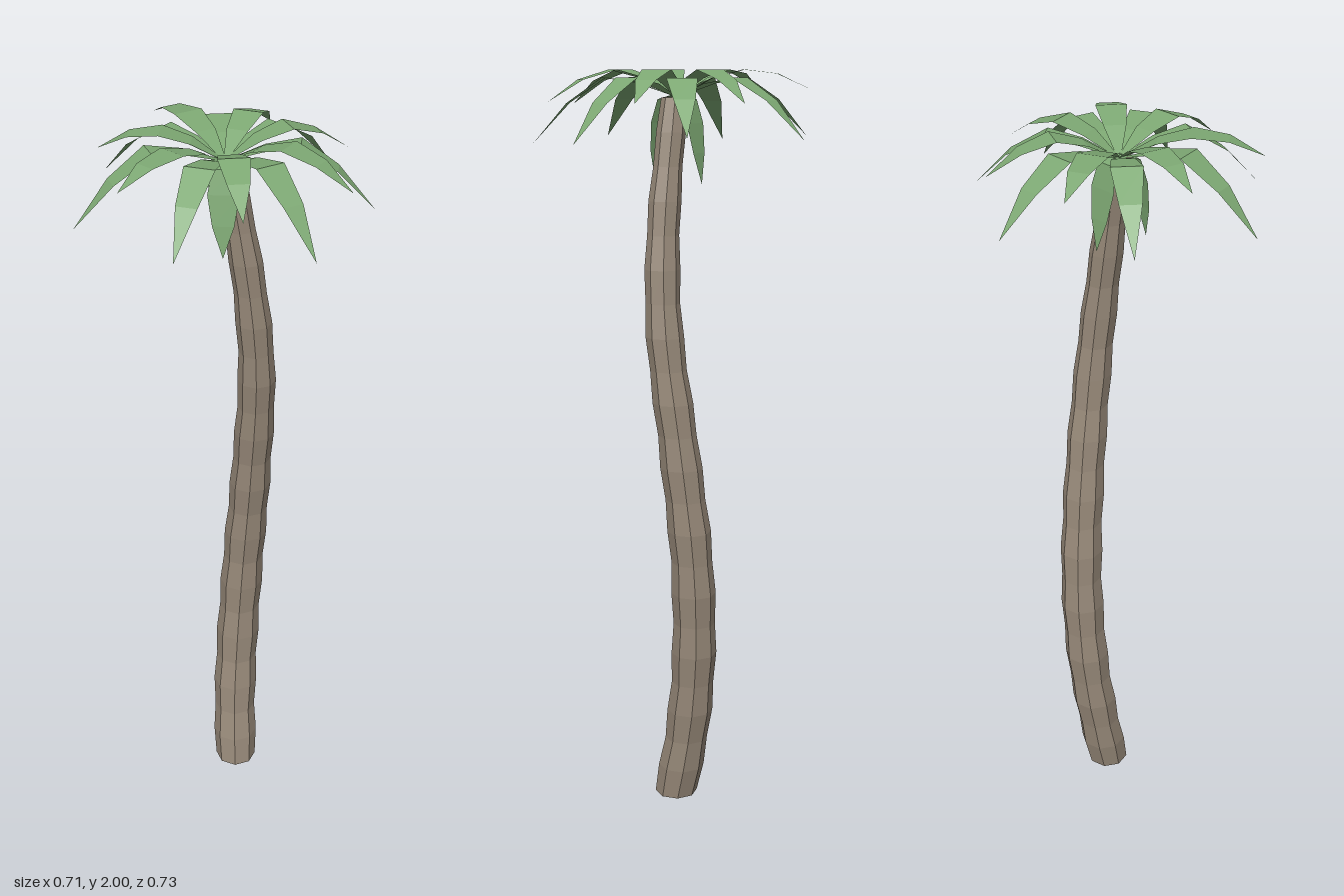
import * as THREE from 'three';

const bark = new THREE.MeshStandardMaterial({ color: 0x978979, flatShading: true });
const green = new THREE.MeshStandardMaterial({ color: 0x7da873, flatShading: true, side: THREE.DoubleSide });

// Leaning trunk: a unit cylinder bent along a curve, with knobbly rings
function makeTrunk() {
  const path = new THREE.CatmullRomCurve3([
    [0.03, 0, -0.01], [0.055, 0.2, -0.04], [0.08, 0.42, -0.055], [0.095, 0.7, -0.048],
    [0.09, 1.0, -0.015], [0.068, 1.35, 0.026], [0.04, 1.6, 0.025], [-0.004, 1.93, -0.006],
  ].map(p => new THREE.Vector3(...p)));
  const rings = 22;
  const geo = new THREE.CylinderGeometry(1, 1, 1, 8, rings);
  const pos = geo.attributes.position;
  for (let i = 0; i < pos.count; i++) {
    const t = pos.getY(i) + 0.5;
    const c = path.getPointAt(THREE.MathUtils.clamp(t, 0, 1));
    const bulge = Math.round(t * rings) % 2 ? 1.04 : 0.96;
    const r = (0.061 - 0.026 * t * t) * bulge;
    pos.setXYZ(i, c.x + pos.getX(i) * r, c.y, c.z + pos.getZ(i) * r);
  }
  geo.computeVertexNormals();
  const trunk = new THREE.Mesh(geo, bark);
  trunk.name = 'trunk';
  return trunk;
}

// One leaf blade: flat cross-sections from the crown to the tip
const crown = new THREE.Vector3(-0.006, 1.93, -0.014);
const halfWidths = [0.004, 0.028, 0.039, 0.027, 0];
function makeLeaf(tipX, tipZ, reach, heights, name) {
  const dir = new THREE.Vector3(tipX - crown.x, 0, tipZ - crown.z);
  const side = new THREE.Vector3(dir.z, 0, -dir.x).normalize();
  const verts = [], index = [];
  reach.forEach((f, i) => {
    const c = crown.clone().addScaledVector(dir, f).setY(heights[i]);
    for (const s of [-1, 1]) verts.push(...c.clone().addScaledVector(side, s * halfWidths[i]).toArray());
    if (i) {
      const a = 2 * i - 2;
      index.push(a, a + 2, a + 1);
      if (halfWidths[i]) index.push(a + 1, a + 2, a + 3);
    }
  });
  const geo = new THREE.BufferGeometry();
  geo.setAttribute('position', new THREE.Float32BufferAttribute(verts, 3));
  geo.setIndex(index);
  geo.computeVertexNormals();
  const leaf = new THREE.Mesh(geo, green);
  leaf.name = name;
  return leaf;
}

export function createModel() {
  const model = new THREE.Group();
  model.name = 'palmTree';
  model.add(makeTrunk());

  const leaves = new THREE.Group();
  leaves.name = 'leaves';
  model.add(leaves);

  // Spreading leaves: tip x, tip z, tip height
  const tips = [
    [0.355, -0.012, 1.84], [0.295, 0.11, 1.92], [0.235, 0.258, 1.82], [0.087, 0.32, 1.92],
    [-0.075, 0.362, 1.81], [-0.202, 0.253, 1.91], [-0.33, 0.158, 1.82], [-0.355, 0, 1.95],
    [-0.357, -0.167, 1.81], [-0.21, -0.25, 1.95], [-0.097, -0.365, 1.83], [0.063, -0.352, 1.95],
    [0.225, -0.312, 1.83], [0.287, -0.157, 1.92],
  ];
  tips.forEach(([x, z, y], i) => {
    const high = y > 1.88;
    const heights = [1.93, high ? 1.978 : 1.965, high ? 2 : 1.98, high ? (2 + y) / 2 + 0.015 : (1.98 + y) / 2 + 0.02, y];
    leaves.add(makeLeaf(x, z, [0, 0.26, 0.5, 0.75, 1], heights, `leaf${i + 1}`));
  });

  // Two leaves hanging beside the trunk
  [[-0.065, 0.04], [0.04, -0.075]].forEach(([x, z], i) =>
    leaves.add(makeLeaf(x, z, [0, 0.55, 0.72, 0.88, 1], [1.94, 1.925, 1.865, 1.79, 1.71], `hangingLeaf${i + 1}`)));

  return model;
}
